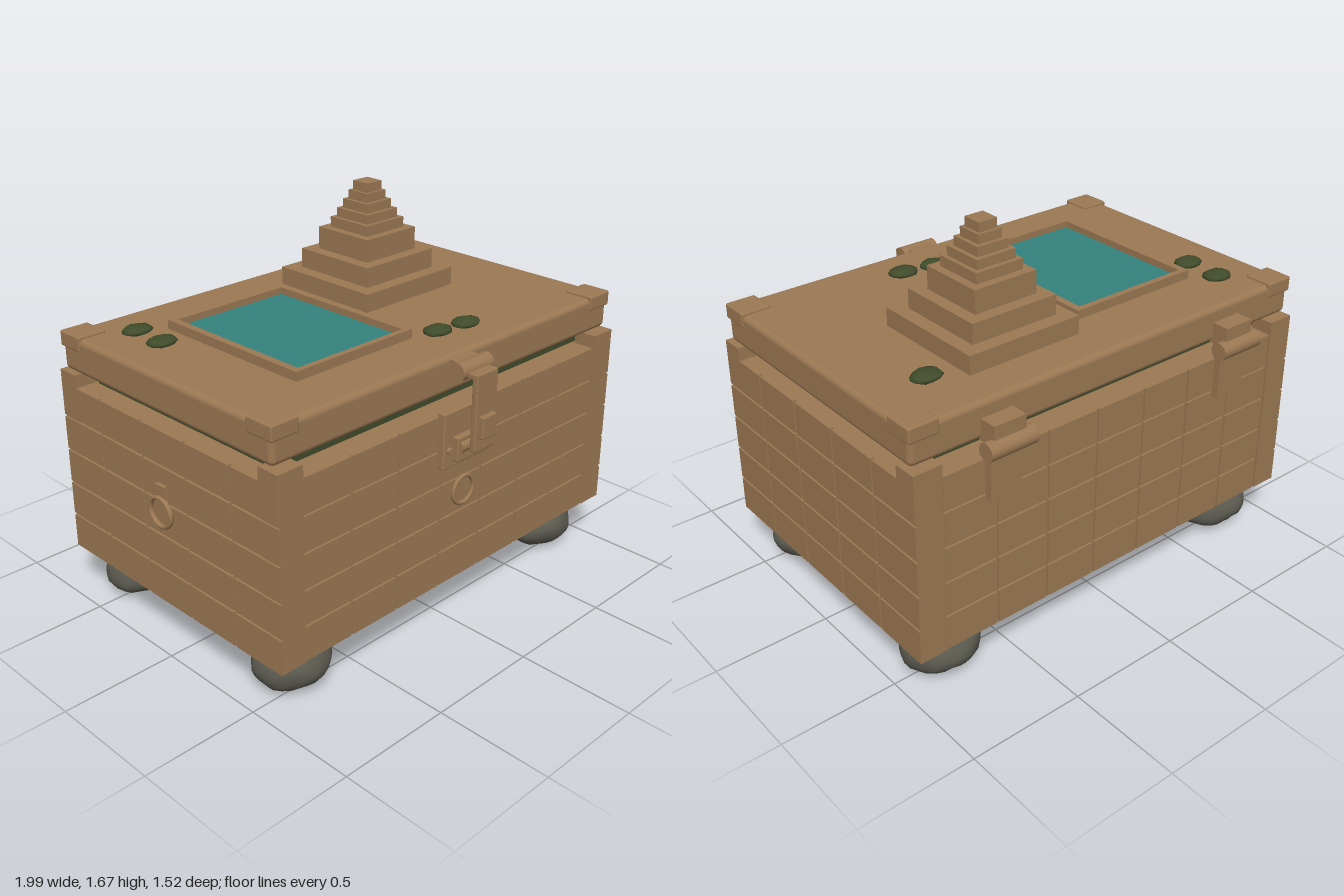
import * as THREE from 'three';
import { mergeVertices } from 'three/addons/utils/BufferGeometryUtils.js';
import { RoundedBoxGeometry } from 'three/addons/geometries/RoundedBoxGeometry.js';

const mat = (name, color) => new THREE.MeshStandardMaterial({ name, color });

export function createModel() {
  const root = new THREE.Group();
  root.name = 'chest';
  const sand = mat('sandstone', 0x9b7853);
  const moss = mat('moss', 0x404c2b);
  const water = mat('water', 0x34827e);
  const rock = mat('rock', 0x5a594f);

  const add = (name, geo, m, x = 0, y = 0, z = 0, parent = root) => {
    const mesh = new THREE.Mesh(geo, m);
    mesh.name = name;
    mesh.position.set(x, y, z);
    parent.add(mesh);
    return mesh;
  };
  // Box given by its limits on each axis, optionally with rounded edges
  const box = (name, m, [x0, x1], [y0, y1], [z0, z1], r = 0, parent = root) => {
    const s = [x1 - x0, y1 - y0, z1 - z0];
    const geo = r ? new RoundedBoxGeometry(...s, 3, r) : new THREE.BoxGeometry(...s);
    return add(name, geo, m, (x0 + x1) / 2, (y0 + y1) / 2, (z0 + z1) / 2, parent);
  };
  // Pin lying along x
  const pin = (name, r, len, x, y, z, parent = root) => {
    const p = add(name, new THREE.CylinderGeometry(r, r, len, 24), sand, x, y, z, parent);
    p.rotation.z = Math.PI / 2;
    return p;
  };
  // Irregular rounded lump
  const lump = (name, m, x, y, z, rx, ry, rz, detail, seed, rough) => {
    let geo = new THREE.IcosahedronGeometry(1, detail);
    geo.deleteAttribute('uv');
    geo.deleteAttribute('normal');
    geo = mergeVertices(geo, 1e-3);
    const pos = geo.attributes.position;
    const v = new THREE.Vector3();
    for (let i = 0; i < pos.count; i++) {
      v.fromBufferAttribute(pos, i);
      const n = Math.sin(v.x * 4 + seed) * Math.sin(v.y * 5 + seed * 2) + 0.6 * Math.sin(v.z * 6 + v.x * 5 + seed * 3)
        + 0.4 * Math.sin(v.x * 11 - v.y * 9 + v.z * 10 + seed);
      v.multiplyScalar(1 + rough * n);
      pos.setXYZ(i, v.x * rx, v.y * ry, v.z * rz);
    }
    geo.computeVertexNormals();
    return add(name, geo, m, x, y, z);
  };

  // Overall limits of the body
  const X = [-0.968, 0.994], Y = [0.22, 0.99], Z = [-0.68, 0.636];
  const gap = 0.01, depth = 0.014, rows = 5;

  // Body core and plinth
  box('bodyCore', sand, [X[0] + depth, X[1] - depth], [Y[0], 0.985], [Z[0] + depth, Z[1] - depth]);
  box('plinth', sand, [-0.885, 0.905], [0.187, 0.22], [-0.583, 0.54]);

  // Wall tiles
  const walls = new THREE.Group();
  walls.name = 'wallTiles';
  root.add(walls);
  const h = (Y[1] - Y[0]) / rows, g = gap / 2;
  const span = (lo, hi, n, i) => [lo + (hi - lo) * i / n + g, lo + (hi - lo) * (i + 1) / n - g];
  for (let r = 0; r < rows; r++) {
    const ys = [Y[0] + h * r + (r ? g : 0), Y[0] + h * (r + 1) - g];
    for (let c = 0; c < 7; c++) {
      const xs = span(-0.848, 0.87, 7, c);
      box('frontTile', sand, xs, ys, [Z[1] - 0.03, Z[1] - 0.005], 0, walls);
      box('backTile', sand, xs, ys, [Z[0] + 0.005, Z[0] + 0.03], 0, walls);
    }
    for (let c = 0; c < 5; c++) {
      const zs = span(Z[0] - g, Z[1] + g, 5, c);
      box('rightTile', sand, [X[0], X[0] + 0.03], ys, zs, 0, walls);
      box('leftTile', sand, [X[1] - 0.03, X[1]], ys, zs, 0, walls);
    }
  }

  // Corner posts, post caps, lid corner caps
  for (const [x0, x1, lx0, lx1] of [[X[0], -0.848, -0.968, -0.837], [0.87, X[1], 0.858, 0.99]]) {
    const inX = x0 < 0 ? [x0 + 0.008, x1] : [x0, x1 - 0.008];
    for (const [z0, z1, lz0, lz1] of [[Z[0], -0.578, -0.658, -0.53], [0.534, Z[1], 0.476, 0.61]]) {
      box('cornerPost', sand, inX, [0.221, 0.985], [z0, z1]);
      box('postCap', sand, [x0, x1], [0.985, 1.042], [z0, z1]);
      box('lidCornerCap', sand, [lx0, lx1], [1.152, 1.217], [lz0, lz1], 0.008);
    }
  }

  // Moss seam and lid
  box('mossSeam', moss, [-0.87, 0.89], [0.98, 1.043], [-0.56, 0.52]);
  box('lid', sand, [-0.963, 0.985], [1.052, 1.206], [-0.652, 0.604], 0.025);

  // Pool set in a raised frame
  const fy = [1.2, 1.245];
  box('poolFrameSide', sand, [-0.636, -0.604], fy, [-0.385, 0.374]);
  box('poolFrameSide', sand, [-0.048, -0.016], fy, [-0.385, 0.374]);
  box('poolFrameEnd', sand, [-0.604, -0.048], fy, [-0.385, -0.358]);
  box('poolFrameEnd', sand, [-0.604, -0.048], fy, [0.348, 0.374]);
  box('poolWater', water, [-0.604, -0.048], [1.208, 1.216], [-0.358, 0.348]);

  // Stepped pyramid: half width and top height of each step
  let base = 1.2;
  for (const [half, top] of [[0.263, 1.285], [0.201, 1.37], [0.147, 1.468], [0.111, 1.513],
    [0.092, 1.553], [0.073, 1.593], [0.056, 1.632], [0.043, 1.672]]) {
    box('pyramidStep', sand, [0.327 - half, 0.327 + half], [base, top], [-0.214 - half, -0.214 + half]);
    base = top;
  }

  // Moss clumps on the lid
  [[-0.743, -0.449], [-0.749, -0.278], [0.717, -0.385], [0.107, 0.4], [0.257, 0.417]].forEach(([x, z], i) =>
    lump('mossClump', moss, x, 1.213, z, 0.068, 0.021, 0.053, 1, i * 1.7, 0.05));

  // Boulder feet
  [[-0.757, 0.456], [0.783, 0.456], [-0.757, -0.503], [0.783, -0.503]].forEach(([x, z], i) =>
    lump('boulderFoot', rock, x, 0.105, z, 0.172, 0.1, 0.146, 4, i * 2.1 + 1, 0.035));

  // Front latch
  const latch = new THREE.Group();
  latch.name = 'latch';
  root.add(latch);
  box('latchPlate', sand, [-0.136, 0.158], [0.763, 1.003], [0.625, 0.66], 0.006, latch);
  box('latchCatch', sand, [-0.083, 0.108], [0.79, 0.895], [0.655, 0.686], 0.006, latch);
  pin('catchPin', 0.028, 0.16, 0.011, 0.85, 0.672, latch);
  for (const x of [-0.105, 0.127]) {
    const rivet = add('rivet', new THREE.CylinderGeometry(0.015, 0.015, 0.02, 16), sand, x, 0.842, 0.665, latch);
    rivet.rotation.x = Math.PI / 2;
  }
  box('latchStrap', sand, [-0.051, 0.072], [0.84, 1.165], [0.716, 0.743], 0.006, latch);
  box('latchArm', sand, [-0.051, 0.072], [1.14, 1.165], [0.65, 0.74], 0.006, latch);
  box('latchBuckle', sand, [-0.03, 0.053], [0.895, 0.99], [0.735, 0.763], 0.006, latch);
  pin('latchPin', 0.037, 0.176, 0.011, 1.162, 0.662, latch);
  box('latchPinMount', sand, [-0.051, 0.072], [1.13, 1.195], [0.59, 0.66], 0.006, latch);

  // Pull rings on the front and on the right end
  const ringGeo = new THREE.TorusGeometry(0.06, 0.009, 12, 40);
  add('frontRing', ringGeo, sand, 0.011, 0.625, 0.642);
  const endRing = add('endRing', ringGeo, sand, -0.985, 0.645, -0.027);
  endRing.rotation.y = Math.PI / 2;
  endRing.scale.set(1.07, 1.02, 1.3);
  box('endRingBracket', sand, [-0.985, -0.96], [0.68, 0.76], [-0.055, 0.001]);

  // Back hinges
  for (const x of [-0.582, 0.606]) {
    pin('hingePin', 0.038, 0.214, x, 1.046, -0.721);
    box('hingeTopLeaf', sand, [x - 0.072, x + 0.072], [1.05, 1.14], [-0.727, -0.64]);
    box('hingeBottomLeaf', sand, [x - 0.072, x + 0.072], [0.813, 1.03], [-0.704, -0.67]);
  }
  return root;
}
